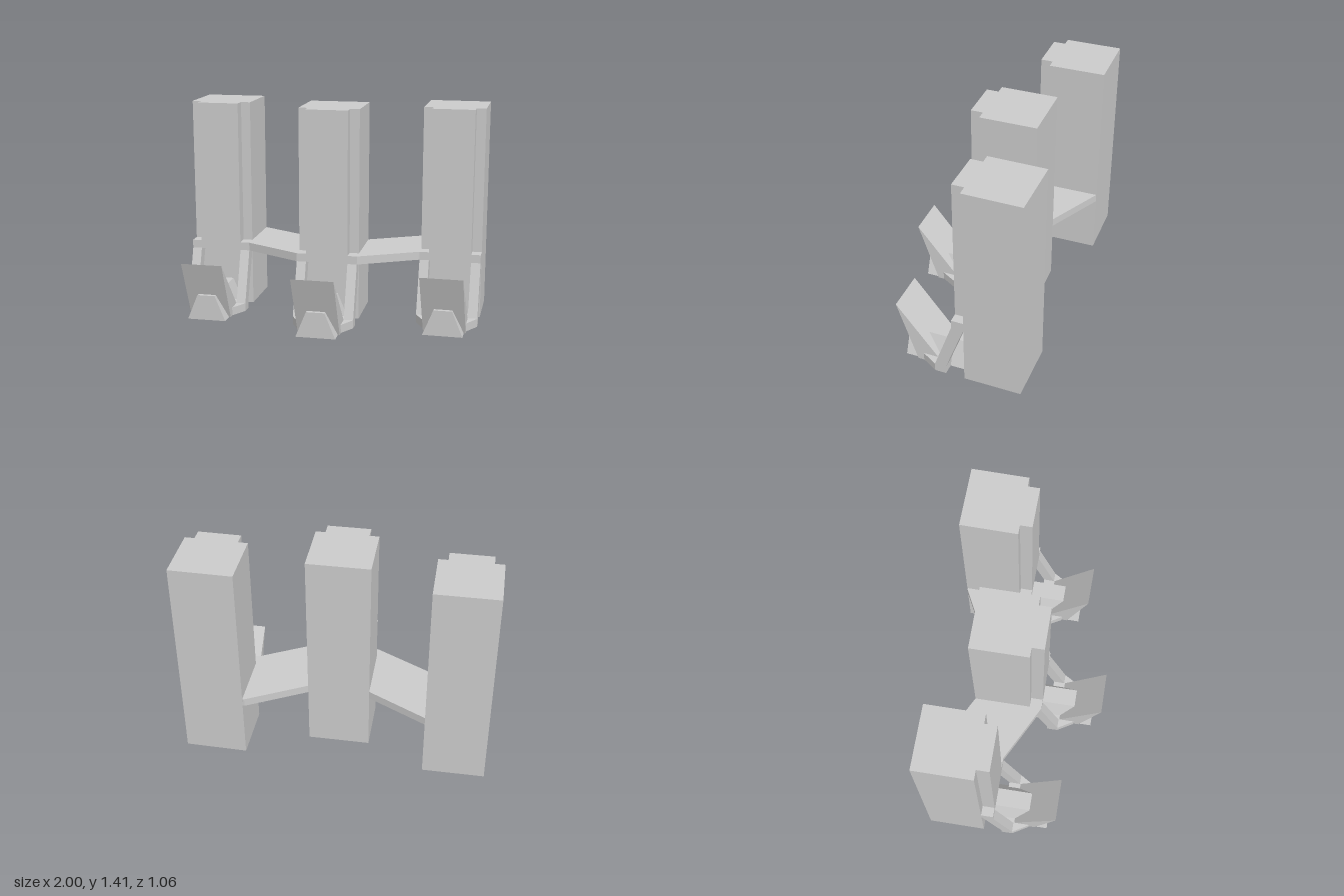
import * as THREE from 'three';

const material = new THREE.MeshStandardMaterial({ color: 0xcccccc, flatShading: true });

function extrude(points, depth) {
  const shape = new THREE.Shape(points.map(([x, y]) => new THREE.Vector2(x, y)));
  return new THREE.ExtrudeGeometry(shape, { depth, bevelEnabled: false });
}

// Plan outline [x, z] raised from y0 to y1
function planPrism(points, y0, y1) {
  return extrude(points.map(([x, z]) => [x, -z]), y1 - y0).rotateX(-Math.PI / 2).translate(0, y0, 0);
}

// Side outline [z, y] spanning x0 to x1
function sidePrism(points, x0, x1) {
  return extrude(points.map(([z, y]) => [-z, y]), x1 - x0).rotateY(Math.PI / 2).translate(x0, 0, 0);
}

function add(group, name, geometry) {
  const mesh = new THREE.Mesh(geometry, material);
  mesh.name = name;
  group.add(mesh);
}

const W = 0.203, INNER = 0.14;          // half widths of tower and of its front rib
const BACK = -0.23, SHOULDER = 0.145, FRONT = 0.225;
const DECK0 = 0.4, DECK1 = 0.455, TOP = 1.415, FOOT = 0.055;

function createPier() {
  const pier = new THREE.Group();

  // Tower: plain below the deck, notched front corners above it
  add(pier, 'towerBase', planPrism([[-W, BACK], [W, BACK], [W, SHOULDER], [-W, SHOULDER]], 0, DECK0));
  add(pier, 'tower', planPrism([
    [-W, BACK], [W, BACK], [W, SHOULDER], [INNER, SHOULDER],
    [INNER, FRONT], [-INNER, FRONT], [-INNER, SHOULDER], [-W, SHOULDER],
  ], DECK1, TOP));
  add(pier, 'deckSection', planPrism([[-W, BACK], [W, BACK], [W, FRONT], [-W, FRONT]], DECK0, DECK1));

  // Slanted struts from deck to foot
  const strut = [[SHOULDER, DECK0], [0.27, FOOT], [0.345, FOOT], [FRONT, DECK0]];
  add(pier, 'rightStrut', sidePrism(strut, -W, -INNER));
  add(pier, 'leftStrut', sidePrism(strut, INNER, W));

  // Foot plate with tapered front corners
  add(pier, 'footPlate', planPrism([
    [-W, 0.27], [W, 0.27], [W, 0.345], [INNER, 0.452], [-INNER, 0.452], [-W, 0.345],
  ], 0, FOOT));

  // Central sill with sloping flanks
  add(pier, 'sill', extrude([[-0.13, 0], [0.13, 0], [0.06, 0.17], [-0.06, 0.17]], 0.577 - SHOULDER)
    .translate(0, 0, SHOULDER));

  // Leaning wedge panel, slightly skewed sideways towards its tip
  const panel = sidePrism([[0.35, 0], [0.49, 0], [0.633, 0.398], [0.35, FOOT]], -0.136, 0.142);
  const p = panel.attributes.position;
  for (let i = 0; i < p.count; i++) p.setX(i, p.getX(i) - 0.03 * p.getY(i));
  panel.computeVertexNormals();
  add(pier, 'leaningPanel', panel);

  return pier;
}

export function createModel() {
  const model = new THREE.Group();

  // Three piers, the middle one set forward, the last turned slightly
  const piers = [
    ['rightPier', -0.797, -0.3, 0],
    ['middlePier', -0.007, -0.102, 0],
    ['leftPier', 0.792, -0.3, -0.017],
  ];
  for (const [name, x, z, turn] of piers) {
    const pier = createPier();
    pier.name = name;
    pier.position.set(x, 0, z);
    pier.rotation.y = turn;
    model.add(pier);
  }

  // Angled decks bridging the piers
  add(model, 'rightBridge', planPrism(
    [[-0.594, -0.53], [-0.21, -0.332], [-0.21, 0.123], [-0.594, -0.075]], DECK0, DECK1));
  add(model, 'leftBridge', planPrism(
    [[0.196, -0.332], [0.58, -0.53], [0.595, -0.53], [0.588, -0.079], [0.58, -0.077], [0.196, 0.123]],
    DECK0, DECK1));

  return model;
}
